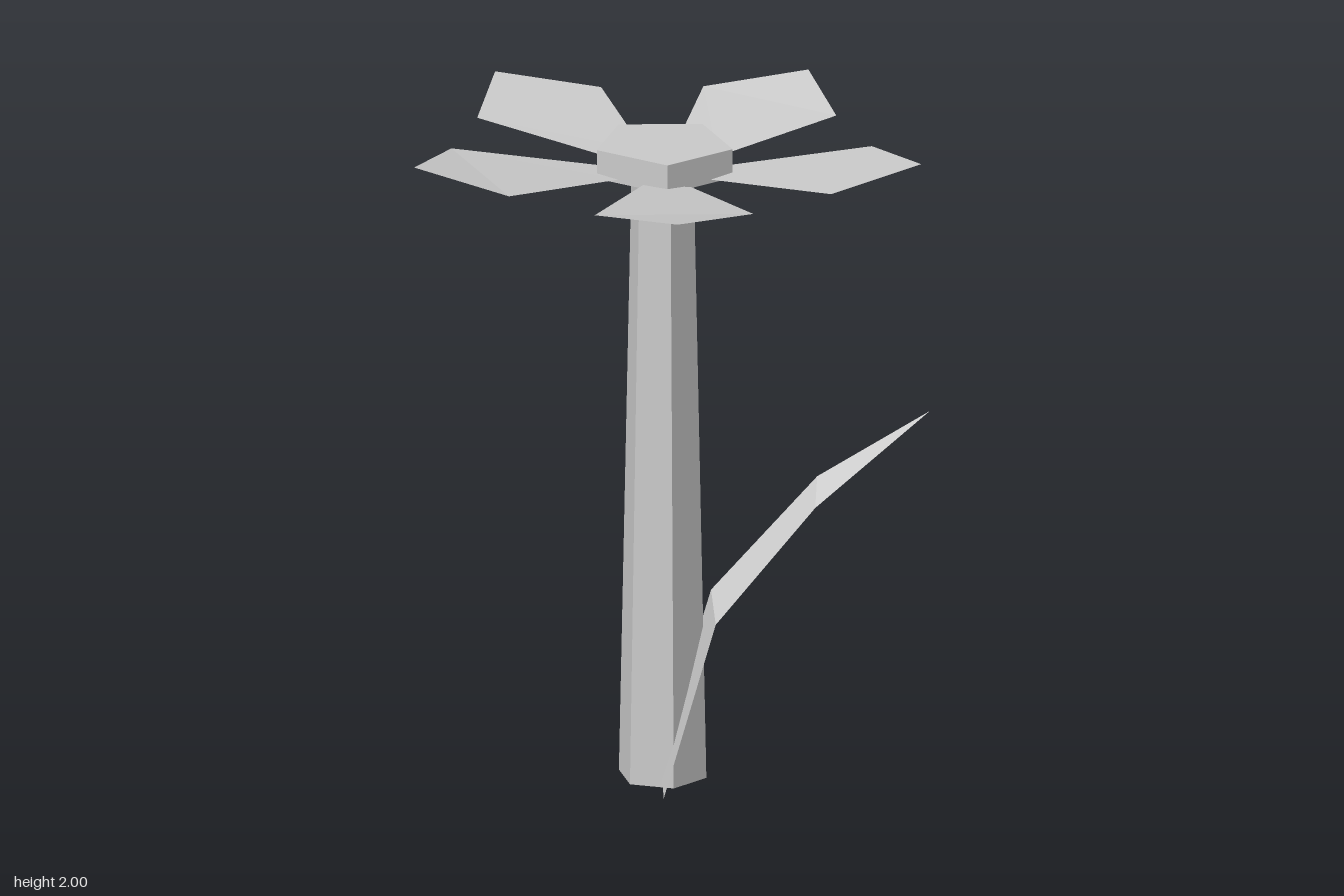
import * as THREE from 'three';

const grey = new THREE.MeshStandardMaterial({ color: 0xcccccc, flatShading: true, side: THREE.DoubleSide });
grey.name = 'plain grey';

function part(name, geometry) {
  const mesh = new THREE.Mesh(geometry, grey);
  mesh.name = name;
  return mesh;
}

// Thin faceted sheet from a list of triangles
function sheet(triangles) {
  const points = triangles.flat().map((p) => new THREE.Vector3(...p));
  const geometry = new THREE.BufferGeometry().setFromPoints(points);
  geometry.computeVertexNormals();
  return geometry;
}

// Petal: a quad widening outwards, then a pointed tip, each step a little higher.
// Corners are [x, z]: inner pair, outer pair, tip.
function petal([innerA, innerB, outerA, outerB, tip], side) {
  const at = ([x, z], y) => [x, y, z * side];
  const a = at(innerA, 1.91), b = at(innerB, 1.91);
  const c = at(outerA, 1.96), d = at(outerB, 1.96), t = at(tip, 2.0);
  const tris = [[a, c, b], [b, c, d], [c, t, d]];
  // keep the upper side facing up
  const area = (c[0] - a[0]) * (b[2] - a[2]) - (c[2] - a[2]) * (b[0] - a[0]);
  return sheet(area > 0 ? tris.map(([p, q, r]) => [p, r, q]) : tris);
}

export function createModel() {
  const model = new THREE.Group();
  model.name = 'flower';

  // Tapered six-sided stem
  const stem = part('stem', new THREE.CylinderGeometry(0.096, 0.135, 1.9, 6, 1, false, Math.PI / 2));
  stem.position.set(-0.078, 0.95, 0);
  model.add(stem);

  // Five-sided flower centre
  const centre = part('flowerCentre', new THREE.CylinderGeometry(0.213, 0.213, 0.09, 5, 1, false, Math.PI / 2));
  centre.position.set(-0.075, 1.945, 0);
  centre.scale.z = 0.94;
  model.add(centre);

  // Petals: one to the side, two mirrored pairs
  const sidePetal = [[0.08, 0.06], [0.08, -0.06], [0.505, 0.22], [0.505, -0.22], [0.72, 0]];
  const frontPetal = [[-0.09, 0.15], [0.05, 0.14], [-0.12, 0.59], [0.33, 0.45], [0.17, 0.71]];
  const farPetal = [[-0.22, 0.03], [-0.17, 0.13], [-0.69, 0.14], [-0.41, 0.5], [-0.72, 0.44]];
  model.add(part('petalLeft', petal(sidePetal, 1)));
  for (const [end, side] of [['Front', 1], ['Back', -1]]) {
    model.add(part('petal' + end, petal(frontPetal, side)));
    model.add(part('petalRight' + end, petal(farPetal, side)));
  }

  // Leaf: rows of front edge, raised midrib, back edge, closing to a point
  const rows = [
    [[-0.015, 0, 0.21], [-0.085, 0.06, 0], [-0.14, 0, -0.21]],
    [[0.12, 0.53, 0.12], [0.06, 0.58, -0.04], [0.03, 0.53, -0.205]],
    [[0.39, 0.88, -0.01], [0.365, 0.94, -0.12], [0.335, 0.88, -0.215]],
  ];
  const tip = [0.69, 1.15, -0.2];
  const tris = [];
  rows.forEach((row, i) => {
    const next = rows[i + 1];
    for (let k = 0; k < 2; k++) {
      if (next) tris.push([row[k], row[k + 1], next[k]], [row[k + 1], next[k + 1], next[k]]);
      else tris.push([row[k], row[k + 1], tip]);
    }
  });
  model.add(part('leaf', sheet(tris)));

  return model;
}
